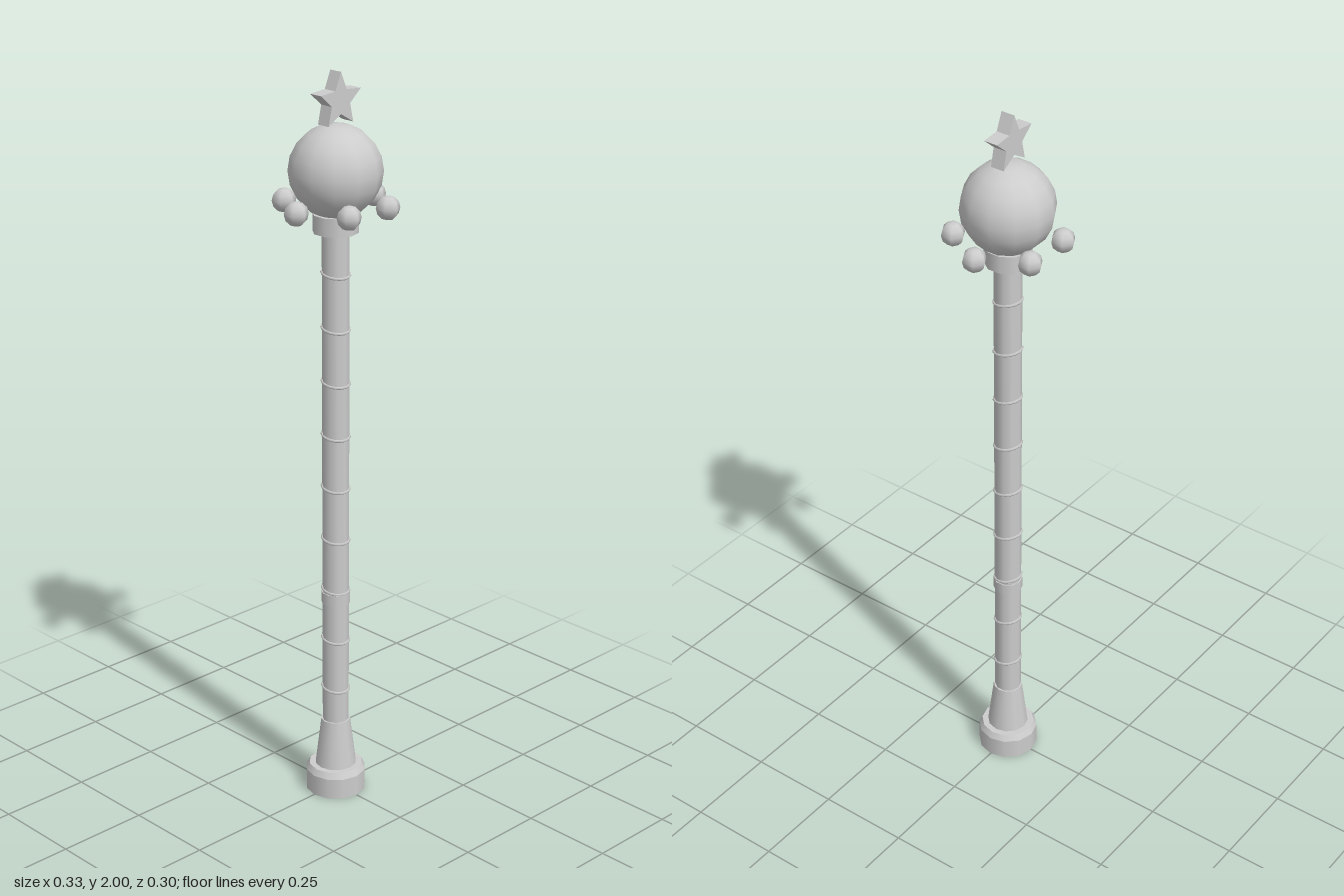
import * as THREE from 'three';

export function createModel() {
  const group = new THREE.Group();
  const grey = new THREE.MeshStandardMaterial({ color: 0xcccccc });
  grey.name = 'light grey';

  const add = (name, geometry, y, x = 0, z = 0) => {
    const mesh = new THREE.Mesh(geometry, grey);
    mesh.name = name;
    mesh.position.set(x, y, z);
    group.add(mesh);
    return mesh;
  };
  // Round part standing between two heights
  const column = (name, rTop, rBottom, y0, y1, sides) =>
    add(name, new THREE.CylinderGeometry(rTop, rBottom, y1 - y0, sides), (y0 + y1) / 2);

  // Foot with bevelled upper rim, and tapered socket
  column('foot', 0.082, 0.082, 0, 0.058, 12);
  column('footRim', 0.073, 0.082, 0.058, 0.075, 12);
  column('socket', 0.04, 0.057, 0.07, 0.21, 12);

  // Shaft, grip band and collar
  column('shaft', 0.036, 0.036, 0.15, 1.62, 10);
  column('gripBand', 0.039, 0.039, 0.56, 0.592, 10);
  column('collar', 0.06, 0.06, 1.59, 1.638, 10);

  // Slanted rings up the shaft
  for (let i = 0; i < 9; i++) {
    const ring = add('shaftRing', new THREE.TorusGeometry(0.036, 0.004, 5, 16), 0.306 + i * 0.1467);
    ring.rotation.x = Math.PI / 2 + 0.17;
  }

  // Large orb, turned so that flat sides face the axes
  const orb = add('orb', new THREE.SphereGeometry(0.121, 12, 10), 1.747);
  orb.rotation.y = Math.PI / 12;

  // Six small beads around the orb
  for (let i = 0; i < 6; i++) {
    const a = (i * Math.PI) / 3;
    const bead = add('bead', new THREE.SphereGeometry(0.032, 6, 6), 1.662,
      0.136 * Math.cos(a), 0.136 * Math.sin(a));
    bead.rotation.y = Math.PI / 6;
  }

  // Five-pointed star on top
  const star = new THREE.Shape();
  for (let i = 0; i < 10; i++) {
    const r = i % 2 ? 0.033 : 0.0725;
    const a = Math.PI / 2 + (i * Math.PI) / 5;
    star[i ? 'lineTo' : 'moveTo'](r * Math.cos(a), r * Math.sin(a));
  }
  star.closePath();
  const starGeometry = new THREE.ExtrudeGeometry(star, { depth: 0.038, bevelEnabled: false });
  starGeometry.translate(0, 0, -0.019);
  add('star', starGeometry, 1.9275);

  return group;
}
